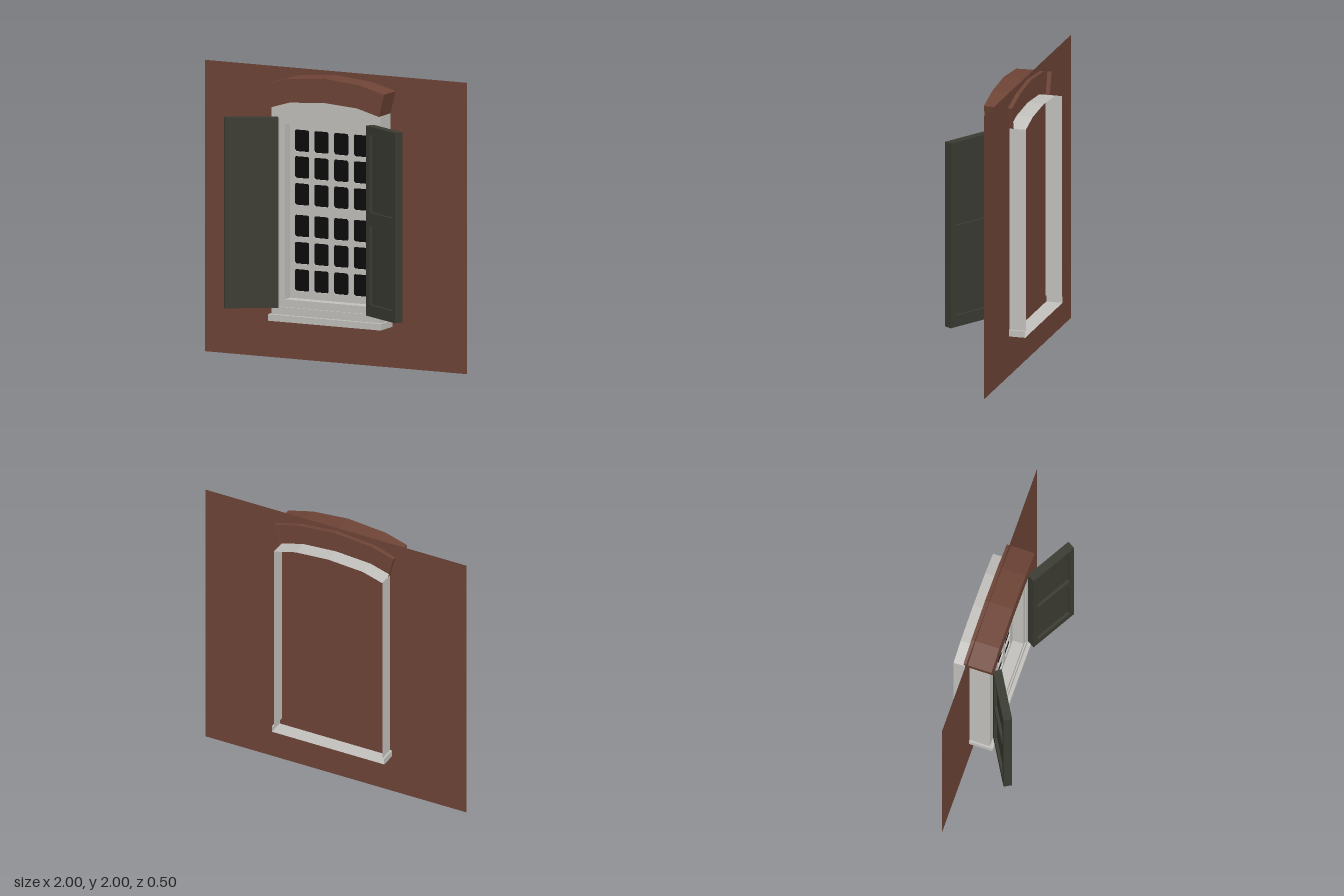
import * as THREE from 'three';

const mat = (name, color, side = THREE.FrontSide) => {
  const m = new THREE.MeshStandardMaterial({ color, side });
  m.name = name;
  return m;
};

// Band that follows a polyline of [x, y] points between two depths
function ribbon(points, z0, z1) {
  const pos = [];
  for (let i = 0; i < points.length - 1; i++) {
    const [ax, ay] = points[i], [bx, by] = points[i + 1];
    pos.push(ax, ay, z0, bx, by, z0, bx, by, z1, ax, ay, z0, bx, by, z1, ax, ay, z1);
  }
  const g = new THREE.BufferGeometry();
  g.setAttribute('position', new THREE.Float32BufferAttribute(pos, 3));
  g.computeVertexNormals();
  return g;
}

const toShape = (pts) => new THREE.Shape(pts.map(([x, y]) => new THREE.Vector2(x, y)));
const rect = (x0, y0, x1, y1) => [[x0, y0], [x1, y0], [x1, y1], [x0, y1]];
const closed = (pts) => [...pts, pts[0]];

// Flat face with optional holes at depth z
function face(outline, holes, z) {
  const s = toShape(outline);
  s.holes = holes.map(toShape);
  return new THREE.ShapeGeometry(s).translate(0, 0, z);
}

function roundedPane(cx, cy, w, h, r) {
  const p = new THREE.Path(), x = w / 2 - r, y = h / 2 - r;
  p.absarc(cx + x, cy + y, r, 0, Math.PI / 2);
  p.absarc(cx - x, cy + y, r, Math.PI / 2, Math.PI);
  p.absarc(cx - x, cy - y, r, Math.PI, Math.PI * 1.5);
  p.absarc(cx + x, cy - y, r, Math.PI * 1.5, Math.PI * 2);
  p.closePath();
  return p;
}

export function createModel() {
  const model = new THREE.Group();
  const brick = mat('brick red', 0x6e4436, THREE.DoubleSide);
  const stone = mat('pale stone', 0xc2c0bc, THREE.DoubleSide);
  const green = mat('dark green', 0x393a31);
  const black = mat('black glass', 0x0b0b0b);

  const add = (name, geometry, material, parent = model) => {
    const m = new THREE.Mesh(geometry, material);
    m.name = name;
    parent.add(m);
    return m;
  };

  const WALL = -0.135, BACK = -0.25, FRONT = 0.01, STEP = 0, SASH = -0.078, LIP = 0.035;

  // Wall sheet
  add('wall', new THREE.PlaneGeometry(2, 2).translate(0, 1, WALL), brick);

  // Brick arch, open at the back
  const archLow = [[-0.415, 1.745], [-0.265, 1.79], [0, 1.808], [0.25, 1.79], [0.415, 1.745]];
  const archHigh = [[0.455, 1.9], [0.265, 1.95], [0, 1.975], [-0.29, 1.95], [-0.455, 1.9]];
  const arch = new THREE.Group();
  arch.name = 'brickArch';
  model.add(arch);
  add('archFace', face([...archLow, ...archHigh], [], LIP), brick, arch);
  add('archRim', ribbon([archLow[4], ...archHigh, archLow[0]], -0.165, LIP), brick, arch);
  add('archUnderside', ribbon(archLow, FRONT, LIP), brick, arch);

  // Stone surround with a stepped opening
  const surround = new THREE.Group();
  surround.name = 'surround';
  model.add(surround);
  const right = archLow.slice().reverse();
  const outline = [[-0.415, 0.325], [0.415, 0.325], ...right];
  const outer = rect(-0.355, 0.378, 0.355, 1.685);
  const inner = rect(-0.32, 0.43, 0.32, 1.635);
  add('surroundFace', face(outline, [outer], FRONT), stone, surround);
  add('surroundSides', ribbon([[0.415, 0.325], ...right, [-0.415, 0.325]], BACK, FRONT), stone, surround);
  add('outerReveal', ribbon(closed(outer), STEP, FRONT), stone, surround);
  add('innerFrame', face(outer, [inner], STEP), stone, surround);
  add('innerReveal', ribbon(closed(inner), SASH - 0.02, STEP), stone, surround);

  // Sill, open at the back
  const sill = new THREE.Group();
  sill.name = 'sill';
  model.add(sill);
  add('sillFace', face(rect(-0.43, 0.28, 0.43, 0.325), [], LIP), stone, sill);
  add('sillSides', ribbon([[-0.415, 0.325], [-0.43, 0.325], [-0.43, 0.28],
    [0.43, 0.28], [0.43, 0.325], [0.415, 0.325]], BACK, LIP), stone, sill);
  add('sillTop', ribbon([[0.415, 0.325], [-0.415, 0.325]], FRONT, LIP), stone, sill);

  // Sash with four by six rounded panes
  const sashShape = toShape(inner);
  for (const x of [-0.231, -0.083, 0.067, 0.218])
    for (const y of [0.555, 0.742, 0.928, 1.145, 1.33, 1.513])
      sashShape.holes.push(roundedPane(x, y, 0.113, 0.15, 0.016));
  add('sash', new THREE.ExtrudeGeometry(sashShape, { depth: 0.012, bevelEnabled: false, curveSegments: 4 })
    .translate(0, 0, SASH - 0.012), stone);
  add('glass', new THREE.PlaneGeometry(0.63, 1.2).translate(0, 1.033, SASH - 0.011), black);

  // Open shutters, two panels sunk on both sides
  const W = 0.365, T = 0.06, Y0 = 0.38, Y1 = 1.685;
  const panels = [[0.46, 1.005], [1.095, 1.63]];
  for (const side of [-1, 1]) {
    const shutter = new THREE.Group();
    shutter.name = side > 0 ? 'leftShutter' : 'rightShutter';
    const frame = toShape(rect(-W / 2, Y0, W / 2, Y1));
    for (const [a, b] of panels) {
      frame.holes.push(toShape(rect(-W / 2 + 0.041, a, W / 2 - 0.041, b)));
      add('shutterPanel', new THREE.BoxGeometry(W - 0.08, b - a, 0.02).translate(0, (a + b) / 2, 0), green, shutter);
    }
    add('shutterFrame', new THREE.ExtrudeGeometry(frame, { depth: T, bevelEnabled: false })
      .translate(0, 0, -T / 2), green, shutter);
    shutter.position.set(side * 0.508, 0, 0.1325);
    shutter.rotation.y = -side * Math.PI / 6;
    model.add(shutter);
  }
  return model;
}
